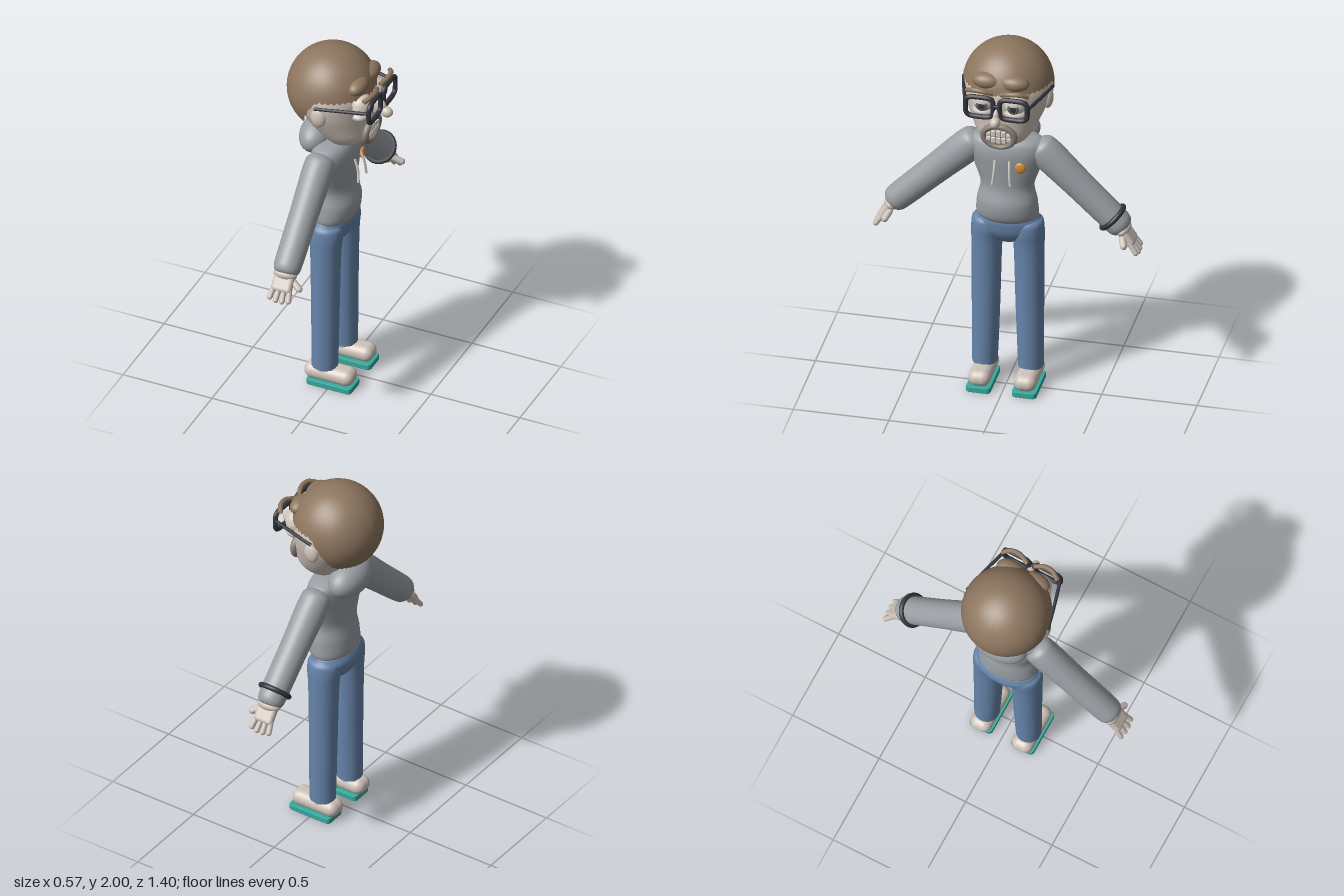
import * as THREE from 'three';
import { RoundedBoxGeometry } from 'three/addons/geometries/RoundedBoxGeometry.js';

const mat = (name, color, side = THREE.FrontSide) => {
  const m = new THREE.MeshStandardMaterial({ color, side });
  m.name = name;
  return m;
};

// Smooth closed body through oval rings [y, halfWidth, halfDepth, zCentre, xCentre], bottom to top
function loft(rings, steps = 32, sides = 32) {
  const size = new THREE.CatmullRomCurve3(rings.map(r => new THREE.Vector3(r[0], r[1], r[2])), false, 'catmullrom');
  const mid = new THREE.CatmullRomCurve3(rings.map(r => new THREE.Vector3(r[4] || 0, 0, r[3] || 0)), false, 'catmullrom');
  const pos = [], index = [];
  for (let j = 0; j <= steps; j++) {
    const s = size.getPoint(j / steps), c = mid.getPoint(j / steps);
    for (let i = 0; i < sides; i++) {
      const a = (i / sides) * Math.PI * 2;
      pos.push(c.x + s.y * Math.cos(a), s.x, c.z + s.z * Math.sin(a));
      if (j < steps) {
        const p = j * sides + i, q = j * sides + (i + 1) % sides;
        index.push(p, p + sides, q, q, p + sides, q + sides);
      }
    }
  }
  const g = new THREE.BufferGeometry();
  g.setAttribute('position', new THREE.Float32BufferAttribute(pos, 3));
  g.setIndex(index);
  g.computeVertexNormals();
  return g;
}

const ball = (rx, ry, rz) => new THREE.SphereGeometry(1, 28, 20).scale(rx, ry, rz);
const tube = (pts, r, closed = false, n = 24) => new THREE.TubeGeometry(
  new THREE.CatmullRomCurve3(pts.map(p => new THREE.Vector3(...p)), closed), n, r, 8, closed);

// Hair cap: low at the nape, high over the face, stepping behind the ears
function hairCap(r) {
  const g = new THREE.SphereGeometry(r, 48, 28), p = g.attributes.position, uv = g.attributes.uv;
  for (let i = 0; i < p.count; i++) {
    const a = (uv.getX(i) * 2 - 1) * Math.PI;
    const limit = 1.42 + 0.9 * THREE.MathUtils.smoothstep(Math.abs(a), 1.45, 2.15);
    const t = (1 - uv.getY(i)) * limit;
    p.setXYZ(i, r * Math.sin(t) * Math.sin(a), r * Math.cos(t), r * Math.sin(t) * Math.cos(a));
  }
  g.computeVertexNormals();
  return g;
}

export function createModel() {
  const hair = mat('hair brown', 0x8d765f, THREE.DoubleSide), skin = mat('pale skin', 0xcfc4ba);
  const hoodie = mat('hoodie grey', 0x9a9fa4), denim = mat('denim blue', 0x6785ab);
  const teal = mat('sole teal', 0x35a99c), dark = mat('frame black', 0x34353d);
  const orange = mat('badge orange', 0xd08c35), lip = mat('lip brown', 0x8a7d74);
  const white = mat('off white', 0xd8d3ca), iris = mat('iris grey', 0x6a6262);

  const root = new THREE.Group();
  const body = new THREE.Group();
  body.name = 'figure';
  body.rotation.y = Math.PI / 2; // figure is built facing +z, then turned to face +x
  root.add(body);
  const add = (name, geo, material, x = 0, y = 0, z = 0, parent = body) => {
    const m = new THREE.Mesh(geo, material);
    m.name = name;
    m.position.set(x, y, z);
    parent.add(m);
    return m;
  };

  // Torso, hood and neck
  add('torso', loft([[0.985, 0.001, 0.001, -0.035], [0.985, 0.147, 0.1, -0.035], [1.08, 0.158, 0.118, -0.025],
    [1.18, 0.14, 0.1, -0.03], [1.28, 0.17, 0.103, -0.03], [1.38, 0.2, 0.108, -0.03],
    [1.445, 0.19, 0.095, -0.035], [1.473, 0.11, 0.06, -0.04], [1.476, 0.001, 0.001, -0.04]], 48), hoodie);
  add('hood', ball(0.15, 0.095, 0.092), hoodie, 0, 1.46, -0.127);
  add('neck', new THREE.CylinderGeometry(0.08, 0.08, 0.12, 24), skin, 0, 1.46, -0.02);
  for (const s of [-1, 1]) {
    add('drawstring', tube([[s * 0.038, 1.375, 0.09], [s * 0.04, 1.31, 0.108], [s * 0.047, 1.24, 0.115]], 0.007), white);
  }
  add('badge', ball(0.028, 0.031, 0.012), orange, 0.09, 1.33, 0.075);

  // Jeans
  add('hips', loft([[0.82, 0.001, 0.001, -0.045], [0.85, 0.08, 0.06, -0.045], [0.9, 0.16, 0.095, -0.045],
    [0.95, 0.182, 0.108, -0.046], [0.985, 0.165, 0.105, -0.042], [1.0, 0.14, 0.09, -0.04], [1.0, 0.001, 0.001, -0.04]]), denim);

  const soleShape = (w, l) => {
    const s = new THREE.Shape(), c = 0.02;
    s.moveTo(-w + c, -l).lineTo(w - c, -l).quadraticCurveTo(w, -l, w, -l + c).lineTo(w, l - c)
      .quadraticCurveTo(w, l, w - c, l).lineTo(-w + c, l).quadraticCurveTo(-w, l, -w, l - c)
      .lineTo(-w, -l + c).quadraticCurveTo(-w, -l, -w + c, -l);
    return s;
  };
  const sole = soleShape(0.06, 0.122);
  sole.holes.push(soleShape(0.03, 0.09));

  for (const s of [-1, 1]) {
    add('trouserLeg', loft([[0.115, 0.001, 0.001, -0.04, s * 0.12], [0.115, 0.058, 0.063, -0.04, s * 0.12],
      [0.14, 0.066, 0.069, -0.04, s * 0.12], [0.45, 0.073, 0.073, -0.04, s * 0.115],
      [0.8, 0.079, 0.08, -0.04, s * 0.111], [0.92, 0.085, 0.09, -0.04, s * 0.105],
      [0.975, 0.07, 0.075, -0.04, s * 0.105], [0.99, 0.001, 0.001, -0.04, s * 0.1]], 40), denim);

    // Shoe with framed sole
    add('shoe', new RoundedBoxGeometry(0.115, 0.088, 0.275, 5, 0.043), skin, s * 0.12, 0.07, -0.008);
    add('ankle', new THREE.CylinderGeometry(0.052, 0.055, 0.06, 20), skin, s * 0.12, 0.1, -0.04);
    const soleGeo = new THREE.ExtrudeGeometry(sole, { depth: 0.024, bevelEnabled: true, bevelSize: 0.004, bevelThickness: 0.004, bevelSegments: 2 });
    add('sole', soleGeo.rotateX(-Math.PI / 2), teal, s * 0.12, 0.005, 0.005);
    add('soleInset', new THREE.BoxGeometry(0.064, 0.02, 0.184), skin, s * 0.12, 0.022, 0.005);

    // Arm hangs along its own -y, swung outward
    const arm = new THREE.Group();
    arm.name = s > 0 ? 'leftArm' : 'rightArm';
    arm.position.set(s * 0.19, 1.385, -0.04);
    arm.rotation.z = s * 0.8;
    body.add(arm);
    add('sleeve', loft([[-0.585, 0.001, 0.001], [-0.583, 0.045, 0.045], [-0.56, 0.067, 0.067], [-0.5, 0.073, 0.073],
      [-0.25, 0.079, 0.075], [-0.02, 0.086, 0.08], [0.045, 0.065, 0.065], [0.075, 0.001, 0.001]], 40), hoodie, 0, 0, 0, arm);
    if (s > 0) add('wristband', new THREE.TorusGeometry(0.077, 0.014, 10, 36).rotateX(Math.PI / 2), dark, 0, -0.5, 0, arm);

    const hand = new THREE.Group();
    hand.name = 'hand';
    hand.position.y = -0.57;
    hand.rotation.z = -s * 0.2;
    arm.add(hand);
    add('cuff', ball(0.042, 0.03, 0.064), skin, 0, -0.012, 0, hand);
    add('palm', new RoundedBoxGeometry(0.045, 0.105, 0.112, 4, 0.02), skin, 0, -0.055, 0, hand);
    for (let i = 0; i < 4; i++) {
      const f = add('finger', new THREE.CapsuleGeometry(0.0145, 0.06, 5, 10), skin,
        0, -0.115 - (i === 1 || i === 2 ? 0.008 : 0), -0.048 + i * 0.032, hand);
      f.rotation.x = -(i - 1.5) * 0.1;
    }
    const thumb = add('thumb', new THREE.CapsuleGeometry(0.018, 0.05, 5, 10), skin, -s * 0.015, -0.055, 0.067, hand);
    thumb.rotation.x = -0.95;
  }

  // Head
  add('head', loft([[1.455, 0.001, 0.001, 0.02], [1.462, 0.06, 0.06, 0.02], [1.485, 0.105, 0.1, 0.025],
    [1.535, 0.145, 0.14, 0.025], [1.61, 0.183, 0.172, -0.005], [1.7, 0.217, 0.2, -0.032],
    [1.79, 0.222, 0.207, -0.042], [1.88, 0.175, 0.17, -0.05], [1.95, 0.08, 0.08, -0.05], [1.96, 0.001, 0.001, -0.05]], 45, 40), skin);
  add('hairCap', hairCap(0.235), hair, 0, 1.765, -0.052);
  add('nose', ball(0.027, 0.03, 0.035), skin, 0, 1.69, 0.25);
  add('noseBridge', ball(0.024, 0.05, 0.05), skin, 0, 1.715, 0.2);

  // Mouth: lip ring, backing and two rows of teeth
  const mouth = new THREE.Group();
  mouth.name = 'mouth';
  mouth.position.set(0, 1.562, 0.168);
  mouth.rotation.x = 0.06;
  body.add(mouth);
  add('lips', new THREE.TorusGeometry(0.08, 0.018, 12, 40).scale(1, 0.78, 1), lip, 0, 0, 0, mouth);
  add('mouthBack', ball(0.08, 0.062, 0.012), lip, 0, 0, -0.004, mouth);
  for (const row of [-1, 1]) {
    for (let i = -2; i <= 2; i++) {
      const h = [0.038, 0.035, 0.024][Math.abs(i)];
      add('tooth', new RoundedBoxGeometry(0.024, h, 0.016, 2, 0.005), white, i * 0.0265, row * (h / 2 + 0.002), 0.006, mouth);
    }
  }

  // Face pieces and glasses
  for (const s of [-1, 1]) {
    add('ear', ball(0.026, 0.058, 0.042), skin, s * 0.212, 1.705, -0.035);
    add('eyeball', ball(0.06, 0.057, 0.06), white, s * 0.083, 1.755, 0.145);
    const lid = new THREE.SphereGeometry(0.066, 28, 12, 0, Math.PI * 2, 0, Math.PI * 0.42);
    add('upperLid', lid, skin, s * 0.083, 1.757, 0.145).rotation.x = 0.12;
    add('lowerLid', ball(0.062, 0.03, 0.05), skin, s * 0.083, 1.7, 0.145);
    add('iris', ball(0.031, 0.031, 0.006), iris, s * 0.083, 1.752, 0.203);
    add('pupil', ball(0.017, 0.017, 0.004), dark, s * 0.083, 1.752, 0.2075);
    add('hairLump', ball(0.078, 0.043, 0.05), hair, s * 0.072, 1.862, 0.125);
    add('eyebrow', tube([[s * 0.02, 1.832, 0.205], [s * 0.07, 1.848, 0.224], [s * 0.12, 1.85, 0.22],
      [s * 0.162, 1.832, 0.195]], 0.013), hair);

    const rim = [];
    for (let i = 0; i < 24; i++) {
      const a = (i / 24) * Math.PI * 2, c = Math.cos(a), n = Math.sin(a);
      rim.push([s * 0.089 + 0.073 * Math.sign(c) * Math.abs(c) ** 0.5, 1.758 + 0.057 * Math.sign(n) * Math.abs(n) ** 0.5, 0.225]);
    }
    add('glassesRim', tube(rim, 0.0135, true, 72), dark);
    add('glassesTemple', tube([[s * 0.162, 1.77, 0.225], [s * 0.2, 1.77, 0.09], [s * 0.234, 1.768, -0.05]], 0.009), dark);
  }
  add('glassesBridge', new RoundedBoxGeometry(0.04, 0.02, 0.02, 2, 0.006), dark, 0, 1.77, 0.228);

  return root;
}
